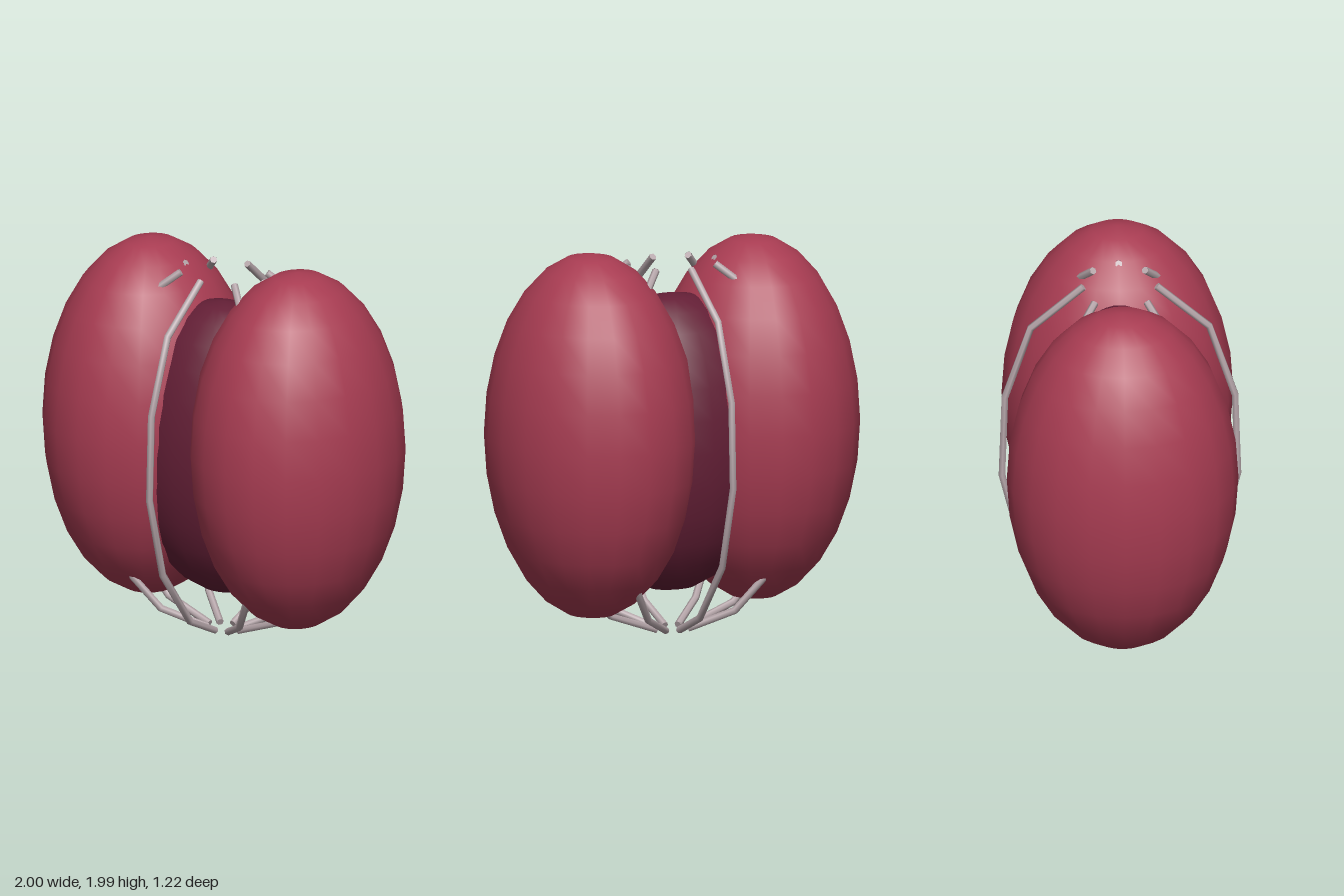
import * as THREE from 'three';

const lobeMat = new THREE.MeshStandardMaterial({ color: 0xa83c52 });
const coreMat = new THREE.MeshStandardMaterial({ color: 0x641f36 });
const wireMat = new THREE.MeshStandardMaterial({ color: 0xb8a8ac, side: THREE.DoubleSide });

// Smooth ellipsoid with the given centre and radii
function ellipsoid(name, mat, centre, radii) {
  const mesh = new THREE.Mesh(new THREE.SphereGeometry(1, 20, 14), mat);
  mesh.name = name;
  mesh.position.set(...centre);
  mesh.scale.set(...radii);
  return mesh;
}

// Rib profile as [radius, height], from the lower tip to the upper tip
const RIB = [[0.07, 0.025], [0.27, 0.12], [0.49, 0.42], [0.595, 0.84], [0.58, 1.28], [0.45, 1.67], [0.185, 1.9]];
const RIB_RADIUS = 0.019, X_STRETCH = 1.33;

function rib(angle) {
  const group = new THREE.Group();
  group.name = 'cageRib';
  const points = RIB.map(([r, y]) =>
    new THREE.Vector3(r * X_STRETCH * Math.sin(angle), y, r * Math.cos(angle)));
  const curve = new THREE.CatmullRomCurve3(points);
  curve.getUtoTmapping = (u) => u; // bend exactly at the profile points
  const tube = new THREE.Mesh(new THREE.TubeGeometry(curve, RIB.length - 1, RIB_RADIUS, 6), wireMat);
  tube.name = 'ribWire';
  group.add(tube);
  // closed tips
  for (const t of [0, 1]) {
    const cap = new THREE.Mesh(new THREE.CircleGeometry(RIB_RADIUS, 6), wireMat);
    cap.name = 'ribTip';
    cap.position.copy(curve.getPoint(t));
    const dir = curve.getTangent(t).multiplyScalar(t ? 1 : -1);
    cap.quaternion.setFromUnitVectors(new THREE.Vector3(0, 0, 1), dir);
    group.add(cap);
  }
  return group;
}

export function createModel() {
  const model = new THREE.Group();
  model.name = 'cagedLobes';

  // pair of large lobes
  for (const side of [-1, 1]) {
    model.add(ellipsoid(side > 0 ? 'leftLobe' : 'rightLobe', lobeMat,
      [side * 0.478, 1.062, 0], [0.522, 0.936, 0.584]));
  }

  // dark core joining the lobes
  model.add(ellipsoid('core', coreMat, [0, 0.985, 0], [0.55, 0.765, 0.412]));

  // eight ribs around the lobes
  for (let i = 0; i < 8; i++) model.add(rib((i * Math.PI) / 4));

  return model;
}
